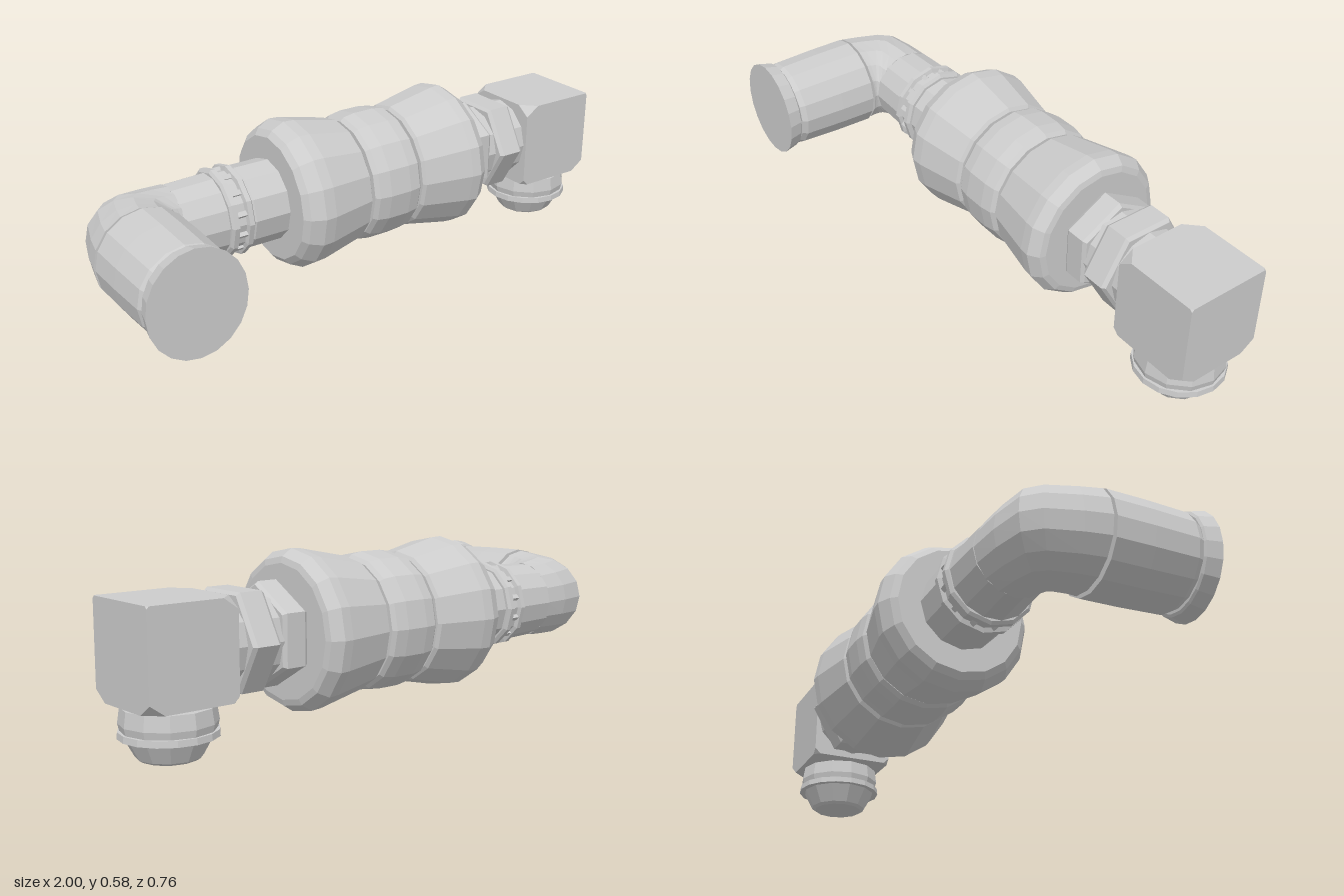
import * as THREE from 'three';
import { ConvexGeometry } from 'three/addons/geometries/ConvexGeometry.js';

const AXIS_Y = 0.325, AXIS_Z = -0.125;
const material = new THREE.MeshStandardMaterial({ color: 0xcccccc, flatShading: true });

function add(group, name, geometry) {
  const mesh = new THREE.Mesh(geometry, material);
  mesh.name = name;
  group.add(mesh);
  return mesh;
}

// Closed turned solid; profile entries are [position along axis, radius]
function turned(profile, sides, phase = 0) {
  const pts = [[profile[0][0], 0], ...profile, [profile[profile.length - 1][0], 0]];
  return new THREE.LatheGeometry(pts.map(([a, r]) => new THREE.Vector2(r, a)), sides, phase);
}

// Turned solid lying along the main x axis
function alongX(group, name, profile, sides, phase) {
  const mesh = add(group, name, turned(profile, sides, phase).rotateZ(-Math.PI / 2));
  mesh.position.set(0, AXIS_Y, AXIS_Z);
  return mesh;
}

// Hex or round nut with chamfered ends
function nut(group, name, x0, x1, r, sides, phase = 0) {
  const c = 0.012;
  return alongX(group, name, [[x0, r * 0.94], [x0 + c, r], [x1 - c, r], [x1, r * 0.94]], sides, phase);
}

// Loft of elliptical sections fanned between inner and outer [x, z] points
function elbowGeometry(sections, sides) {
  const pos = [], index = [];
  const rings = [{ ...sections[0], s: 0 }, ...sections, { ...sections[sections.length - 1], s: 0 }];
  rings.forEach(({ inner, outer, h, s = 1 }, i) => {
    for (let j = 0; j < sides; j++) {
      const a = (j / sides) * Math.PI * 2;
      const k = 0.5 + 0.5 * Math.cos(a) * s;
      pos.push(
        inner[0] + (outer[0] - inner[0]) * k,
        AXIS_Y + Math.sin(a) * h * s,
        inner[1] + (outer[1] - inner[1]) * k
      );
      if (i === rings.length - 1) continue;
      const n = (j + 1) % sides, p = i * sides, q = p + sides;
      index.push(p + j, q + j, p + n, q + j, q + n, p + n);
    }
  });
  const g = new THREE.BufferGeometry();
  g.setAttribute('position', new THREE.Float32BufferAttribute(pos, 3));
  g.setIndex(index);
  g.computeVertexNormals();
  return g;
}

// Box whose chosen corners are cut off
function cutBlock(min, max, cutOf) {
  const pts = [];
  for (let n = 0; n < 8; n++) {
    const high = [n & 1, n & 2, n & 4].map(Boolean);
    const corner = high.map((h, i) => (h ? max[i] : min[i]));
    const cuts = cutOf(...high);
    for (let i = 0; i < 3; i++) {
      const p = [...corner];
      p[i] += high[i] ? -cuts[i] : cuts[i];
      pts.push(new THREE.Vector3(...p));
    }
  }
  return new ConvexGeometry(pts);
}

export function createModel() {
  const model = new THREE.Group();
  model.name = 'pipeCoupling';

  // Three-piece central coupling, flared toward both ends
  const coupling = new THREE.Group();
  coupling.name = 'coupling';
  model.add(coupling);
  alongX(coupling, 'rightFlare',
    [[-0.312, 0.215], [-0.295, 0.236], [-0.25, 0.258], [-0.21, 0.256], [-0.045, 0.22], [-0.037, 0.208]], 16);
  alongX(coupling, 'middleBand',
    [[-0.026, 0.21], [-0.012, 0.222], [0.03, 0.229], [0.11, 0.229], [0.152, 0.222], [0.164, 0.21]], 16);
  alongX(coupling, 'leftFlare',
    [[0.175, 0.208], [0.184, 0.22], [0.36, 0.255], [0.395, 0.258], [0.43, 0.235], [0.436, 0.215]], 16);

  // Right fitting: neck, ridged collar and pipe leading to the elbow
  alongX(model, 'rightNeck', [[-0.45, 0.13], [-0.44, 0.14], [-0.315, 0.14]], 12);
  alongX(model, 'rightCollar',
    [[-0.532, 0.142], [-0.525, 0.152], [-0.508, 0.152], [-0.504, 0.138], [-0.476, 0.138],
      [-0.472, 0.153], [-0.455, 0.153], [-0.448, 0.142]], 12);
  for (let i = 0; i < 12; i++) {
    const rib = alongX(model, 'collarRib', [[-0.506, 0.012], [-0.474, 0.012]], 4);
    const a = ((i + 0.5) / 12) * Math.PI * 2;
    rib.position.y += Math.cos(a) * 0.134;
    rib.position.z += Math.sin(a) * 0.134;
  }
  alongX(model, 'rightPipe', [[-0.682, 0.133], [-0.535, 0.138]], 14);

  // Horizontal elbow turning toward the front
  add(model, 'elbow', elbowGeometry([
    { inner: [-0.678, 0.005], outer: [-0.678, -0.255], h: 0.134 },
    { inner: [-0.68, 0.008], outer: [-0.79, -0.245], h: 0.14 },
    { inner: [-0.681, 0.01], outer: [-0.9, -0.222], h: 0.147 },
    { inner: [-0.681, 0.013], outer: [-0.945, -0.17], h: 0.15 },
    { inner: [-0.68, 0.017], outer: [-0.98, -0.06], h: 0.154 },
    { inner: [-0.678, 0.021], outer: [-0.998, 0.021], h: 0.158 },
  ], 16));

  // Front leg and its flared end flange
  const leg = add(model, 'frontLeg', turned(
    [[0.033, 0.162], [0.16, 0.161], [0.308, 0.156], [0.327, 0.146]], 16).rotateX(Math.PI / 2));
  leg.position.set(-0.835, AXIS_Y, 0);
  const flange = add(model, 'endFlange', turned(
    [[0.327, 0.155], [0.332, 0.163], [0.38, 0.175]], 20).rotateX(Math.PI / 2));
  flange.scale.x = 0.92;
  flange.position.set(-0.839, AXIS_Y, 0);

  // Left fitting: two hex nuts with a neck between them
  nut(model, 'innerHexNut', 0.444, 0.535, 0.166, 6, Math.PI / 2);
  alongX(model, 'leftNeck', [[0.53, 0.14], [0.698, 0.14]], 12);
  nut(model, 'outerHexNut', 0.562, 0.662, 0.174, 6);

  // Square corner block with clipped corners
  add(model, 'cornerBlock', cutBlock([0.697, 0.167, -0.271], [0.995, 0.475, 0.026],
    (left, top) => (top !== left ? [0.05, 0.035, 0.05] : left ? [0.008, 0.008, 0.008] : [0.02, 0.02, 0.02])));

  // Downward outlet: collar, thin ring and tapered plug
  const outlet = new THREE.Group();
  outlet.name = 'bottomOutlet';
  outlet.position.set(0.845, 0, -0.122);
  model.add(outlet);
  add(outlet, 'outletCollar', turned([[0.088, 0.142], [0.11, 0.147], [0.157, 0.14]], 12));
  add(outlet, 'outletRing', turned([[0.068, 0.151], [0.088, 0.149]], 16));
  add(outlet, 'outletPlug', turned([[0, 0.088], [0.008, 0.1], [0.07, 0.134]], 12));

  return model;
}
